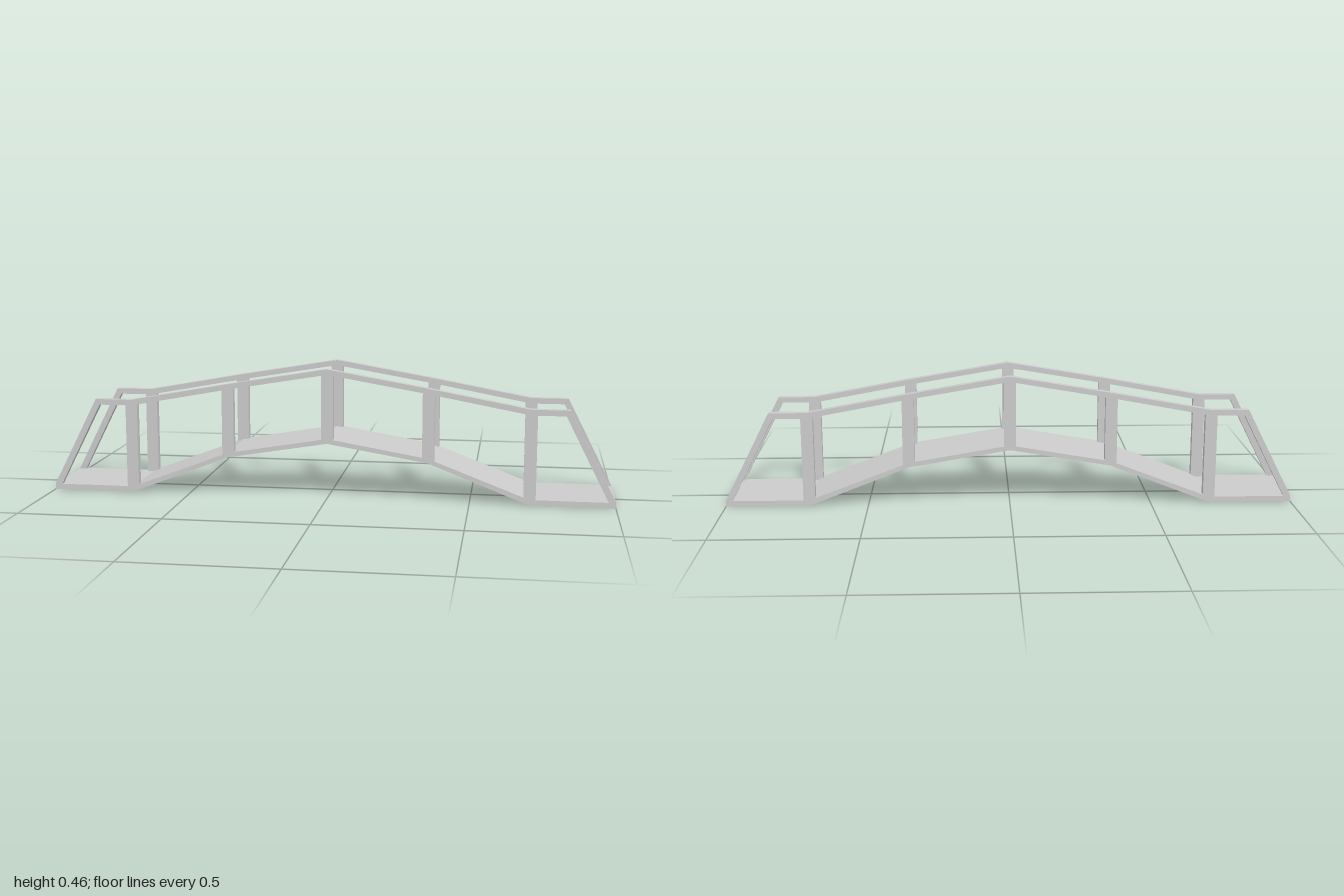
import * as THREE from 'three';

const HALF = 0.139, INNER = 0.114;          // outer and inner z of the railings
const POSTS = [-0.707, -0.355, 0, 0.355, 0.707];

// Right halves of the profiles, from the centre outwards
const deckTop = [[0, 0.214], [0.355, 0.154], [0.707, 0.02], [1, 0.02]];
const deckBottom = [[0, 0.197], [0.355, 0.138], [0.707, 0], [1, 0]];
const railTop = [[0, 0.46], [0.355, 0.4], [0.707, 0.336], [0.838, 0.336], [1, 0.02]];
const railBottom = [[0, 0.441], [0.355, 0.381], [0.707, 0.316], [0.824, 0.316], [0.975, 0.02]];

// Full profile running from -x to +x
const mirror = (half) => [...half.slice(1).reverse().map(([x, y]) => [-x, y]), ...half];

// Height of a half profile at x
function heightAt(half, x) {
  const ax = Math.abs(x);
  const i = Math.max(1, half.findIndex(([px]) => px >= ax));
  const [x0, y0] = half[i - 1], [x1, y1] = half[i];
  return y0 + (y1 - y0) * (ax - x0) / (x1 - x0);
}

// Flat slab between a lower and an upper line, spanning z0..z1
function slab(lower, upper, z0, z1) {
  const outline = [...lower, ...[...upper].reverse()].map((p) => new THREE.Vector2(...p));
  const geo = new THREE.ExtrudeGeometry(new THREE.Shape(outline), { depth: z1 - z0, bevelEnabled: false });
  return geo.translate(0, 0, z0);
}

export function createModel() {
  const material = new THREE.MeshStandardMaterial({ color: 0xcccccc, flatShading: true });
  const model = new THREE.Group();
  model.name = 'footbridge';
  const add = (parent, geo, name) => {
    const mesh = new THREE.Mesh(geo, material);
    mesh.name = name;
    parent.add(mesh);
  };

  // Arched walkway
  add(model, slab(mirror(deckBottom), mirror(deckTop), -HALF, HALF), 'deck');

  // Handrail with sloping end struts, slightly thinner at the feet
  const rail = slab(mirror(railBottom), mirror(railTop), INNER, HALF);
  const pos = rail.attributes.position;
  for (let i = 0; i < pos.count; i++) {
    if (pos.getY(i) < 0.1 && pos.getZ(i) < INNER + 0.001) pos.setZ(i, 0.121);
  }
  rail.computeVertexNormals();

  // Posts follow the bends of the deck and the rail
  const postGeos = POSTS.map((x) => {
    const xs = [x - 0.021, x, x + 0.021];
    return slab(xs.map((v) => [v, heightAt(deckTop, v)]), xs.map((v) => [v, heightAt(railBottom, v)]), INNER, HALF);
  });

  // The same railing on both sides
  for (const [name, turn] of [['frontRailing', 0], ['backRailing', Math.PI]]) {
    const railing = new THREE.Group();
    railing.name = name;
    railing.rotation.y = turn;
    add(railing, rail, 'handrail');
    postGeos.forEach((geo, i) => add(railing, geo, `post${i + 1}`));
    model.add(railing);
  }
  return model;
}
